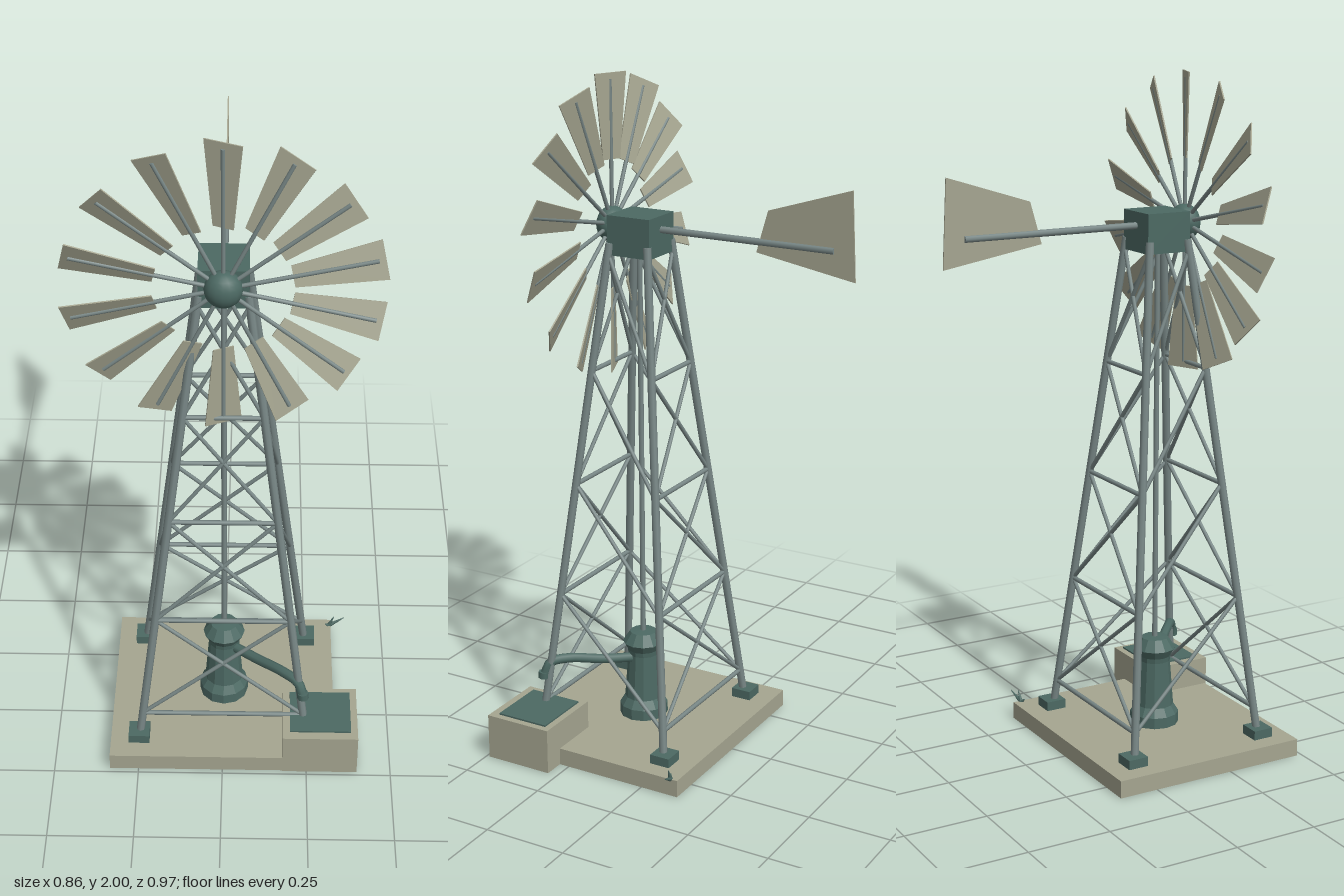
import * as THREE from 'three';

const mat = (name, color, side = THREE.FrontSide) => {
  const m = new THREE.MeshStandardMaterial({ color, side });
  m.name = name;
  return m;
};

export function createModel() {
  const root = new THREE.Group();
  root.name = 'windPump';
  const stone = mat('pale stone', 0xa5a590, THREE.DoubleSide);
  const teal = mat('dark teal', 0x4c6963);
  const steel = mat('grey steel', 0x788786);

  const add = (name, geo, material, parent = root) => {
    const mesh = new THREE.Mesh(geo, material);
    mesh.name = name;
    parent.add(mesh);
    return mesh;
  };
  // Box given by its minimum and maximum corners
  const box = (name, a, b, material) => {
    const m = add(name, new THREE.BoxGeometry(b[0] - a[0], b[1] - a[1], b[2] - a[2]), material);
    m.position.set((a[0] + b[0]) / 2, (a[1] + b[1]) / 2, (a[2] + b[2]) / 2);
    return m;
  };
  // Round bar between two points
  const UP = new THREE.Vector3(0, 1, 0);
  const bar = (name, a, b, r, material = steel, parent = root, rEnd = r) => {
    const d = b.clone().sub(a);
    const m = add(name, new THREE.CylinderGeometry(rEnd, r, d.length(), 8), material, parent);
    m.position.copy(a).add(b).multiplyScalar(0.5);
    m.quaternion.setFromUnitVectors(UP, d.normalize());
    return m;
  };
  const V = (x, y, z) => new THREE.Vector3(x, y, z);

  // Base slab and water tank
  box('baseSlab', [-0.335, 0, -0.12], [0.335, 0.052, 0.485], stone);
  box('tank', [0.178, 0.001, 0.28], [0.4, 0.138, 0.489], stone);
  box('tankWater', [0.2, 0.136, 0.3], [0.38, 0.143, 0.462], teal);

  // Tower: point on a leg at height y, sx and sz pick the corner
  const CZ = 0.187;
  const corner = (sx, sz, y) => {
    const t = (y - 0.06) / (1.53 - 0.06);
    return V(sx * THREE.MathUtils.lerp(0.248, 0.066, t), y,
      CZ + sz * THREE.MathUtils.lerp(0.212, 0.062, t));
  };
  const levels = [0.14, 0.48, 0.82, 1.16, 1.5];
  for (const sx of [-1, 1]) {
    for (const sz of [-1, 1]) {
      bar('leg', corner(sx, sz, 0.06), corner(sx, sz, 1.53), 0.012);
      const fx = sx * 0.25, fz = sz > 0 ? 0.4 : -0.03;
      box('foot', [fx - 0.031, 0.05, fz - 0.031], [fx + 0.031, 0.08, fz + 0.031], teal);
    }
  }
  for (let i = 0; i < 5; i++) {
    const y0 = levels[i], y1 = levels[i + 1];
    for (const s of [-1, 1]) {
      if (i < 4) {
        // Rungs and crossed braces on front and back, single braces on the sides
        bar('rung', corner(-1, s, y0), corner(1, s, y0), 0.007);
        bar('crossBrace', corner(-1, s, y0), corner(1, s, y1), 0.006);
        bar('crossBrace', corner(1, s, y0), corner(-1, s, y1), 0.006);
        bar('sideBrace', corner(s, -1, y0), corner(s, 1, y1), 0.006);
      }
    }
  }

  // Pump with riser pipe and spout
  bar('riserPipe', V(0, 0.3, 0.19), V(0, 1.52, 0.19), 0.008);
  const profile = [[0, 0.05], [0.073, 0.05], [0.073, 0.085], [0.057, 0.11], [0.046, 0.25],
    [0.048, 0.265], [0.062, 0.29], [0.04, 0.322], [0, 0.325]];
  const pump = add('pumpBody', new THREE.LatheGeometry(
    profile.map(([x, y]) => new THREE.Vector2(x, y)), 12).toNonIndexed(), teal);
  pump.geometry.computeVertexNormals();
  pump.position.z = 0.19;
  const spoutPath = new THREE.CatmullRomCurve3([V(0.02, 0.24, 0.2), V(0.1, 0.25, 0.27),
    V(0.18, 0.268, 0.345), V(0.222, 0.262, 0.382), V(0.236, 0.22, 0.396)]);
  add('spout', new THREE.TubeGeometry(spoutPath, 16, 0.015, 8), teal);
  bar('spoutTip', V(0.236, 0.235, 0.396), V(0.237, 0.215, 0.397), 0.017, teal);

  // Small sprig by the rear corner of the slab
  [[0.345, 0.085, -0.098], [0.378, 0.075, -0.106], [0.318, 0.062, -0.09]].forEach((p) =>
    bar('sprig', V(0.33, 0.05, -0.096), V(...p), 0.007, teal, root, 0.001));

  // Gearbox, tail boom and vane
  box('gearbox', [-0.068, 1.495, 0.118], [0.068, 1.61, 0.256], teal);
  bar('tailBoom', V(0, 1.57, 0.12), V(0, 1.57, -0.42), 0.01);
  const vaneShape = new THREE.Shape([[0.185, 1.54], [0.485, 1.49], [0.472, 1.74], [0.22, 1.66]]
    .map(([x, y]) => new THREE.Vector2(x, y)));
  const vane = add('tailVane', new THREE.ExtrudeGeometry(vaneShape,
    { depth: 0.004, bevelEnabled: false }), stone);
  vane.rotation.y = Math.PI / 2;
  vane.position.x = -0.002;

  // Wheel: hub, spokes and pitched blades
  const wheel = new THREE.Group();
  wheel.name = 'wheel';
  wheel.position.set(0, 1.57, 0.28);
  root.add(wheel);
  const hub = add('hub', new THREE.SphereGeometry(0.052, 16, 12), teal, wheel);
  hub.scale.z = 0.85;
  bar('axle', V(0, 0, -0.05), V(0, 0, 0.01), 0.025, teal, wheel);
  const bladeShape = new THREE.Shape([[-0.029, 0.185], [0.029, 0.185], [0.053, 0.428],
    [-0.053, 0.428]].map(([x, y]) => new THREE.Vector2(x, y)));
  const bladeGeo = new THREE.ExtrudeGeometry(bladeShape, { depth: 0.004, bevelEnabled: false });
  bladeGeo.translate(0, 0, -0.002);
  const COUNT = 14;
  for (let i = 0; i < COUNT; i++) {
    const arm = new THREE.Group();
    arm.name = 'bladeArm';
    arm.rotation.z = (i / COUNT) * Math.PI * 2;
    wheel.add(arm);
    bar('spoke', V(0, 0.03, 0), V(0, 0.41, 0.002), 0.006, steel, arm);
    add('blade', bladeGeo, stone, arm).rotation.y = -0.4;
  }
  return root;
}
